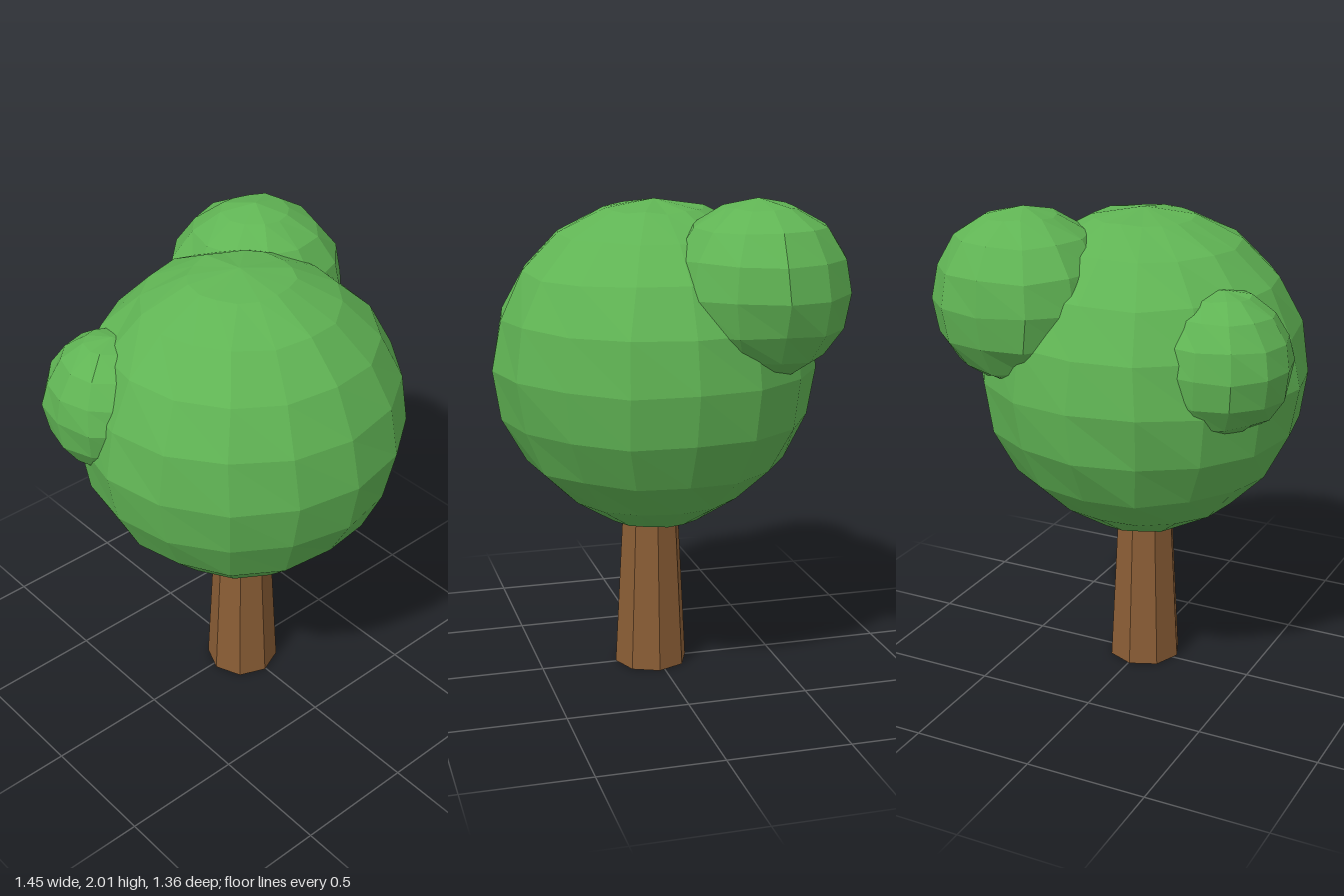
import * as THREE from 'three';

const leaf = new THREE.MeshStandardMaterial({ name: 'leaf green', color: 0x60b454, flatShading: true });
const bark = new THREE.MeshStandardMaterial({ name: 'bark brown', color: 0x8a5d35, flatShading: true });

// Small repeatable offset, identical for vertices that share a place
function wobble(x, y, z, k) {
  const key = Math.round(x * 1000) * 12.9898 + Math.round(y * 1000) * 78.233 + Math.round(z * 1000) * 37.719;
  const s = Math.sin(key + k * 17.3) * 43758.5453;
  return (s - Math.floor(s) - 0.5) * 0.014;
}

// Faceted, slightly uneven ball of leaves
function foliage(name, [rx, ry, rz], [x, y, z], segments, rows) {
  const geometry = new THREE.SphereGeometry(1, segments, rows);
  geometry.scale(rx, ry, rz);
  const p = geometry.attributes.position;
  for (let i = 0; i < p.count; i++) {
    const [a, b, c] = [p.getX(i), p.getY(i), p.getZ(i)];
    p.setXYZ(i, a + wobble(a, b, c, 1), b + wobble(a, b, c, 2), c + wobble(a, b, c, 3));
  }
  // Dent the underside slightly where a trunk would meet it
  if (name === 'crown') {
    for (let i = 0; i < p.count; i++) {
      const row = Math.floor(i / (segments + 1));
      if (row === rows) p.setY(i, -0.635);
      if (row === rows - 1) p.setY(i, -0.652);
    }
  }
  geometry.computeVertexNormals();
  const mesh = new THREE.Mesh(geometry, leaf);
  mesh.name = name;
  mesh.position.set(x, y, z);
  return mesh;
}

export function createModel() {
  const tree = new THREE.Group();
  tree.name = 'tree';

  // Tapered eight-sided trunk, its top buried in the crown
  const trunk = new THREE.Mesh(new THREE.CylinderGeometry(0.113, 0.155, 0.8, 8), bark);
  trunk.name = 'trunk';
  trunk.position.set(-0.006, 0.4, 0.024);
  tree.add(trunk);

  // Main crown and two smaller clumps toward the back
  tree.add(
    foliage('crown', [0.675, 0.663, 0.667], [-0.003, 1.31, 0.012], 16, 10),
    foliage('leftClump', [0.365, 0.35, 0.37], [0.36, 1.65, -0.315], 12, 8),
    foliage('rightClump', [0.28, 0.285, 0.285], [-0.45, 1.46, -0.225], 12, 8),
  );
  return tree;
}
